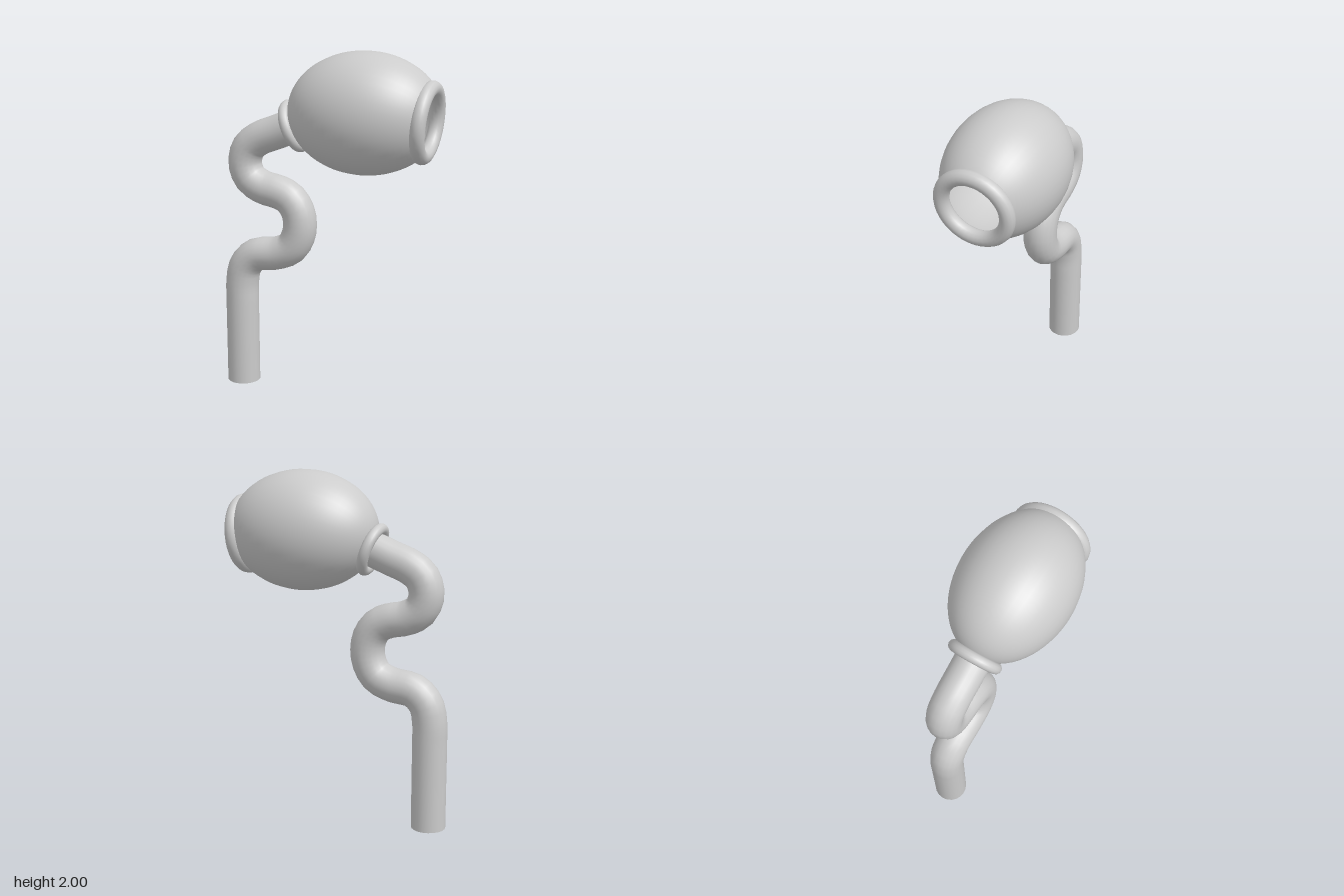
import * as THREE from 'three';

const material = new THREE.MeshStandardMaterial({ color: 0xcccccc, side: THREE.DoubleSide });

function addMesh(parent, name, geometry) {
  const mesh = new THREE.Mesh(geometry, material);
  mesh.name = name;
  parent.add(mesh);
  return mesh;
}

// Hollow ellipsoid cut open at both ends; the cutting planes lean gradually from one end to the other
function bulbGeometry(rows = 28, sides = 40) {
  const positions = [], indices = [];
  for (let i = 0; i <= rows; i++) {
    const t = i / rows;
    const phi = THREE.MathUtils.lerp(Math.PI - 0.305, 0.61, t);
    const tilt = THREE.MathUtils.lerp(0.25, -0.12, t);
    const c = Math.cos(phi), s = Math.sin(phi);
    for (let j = 0; j < sides; j++) {
      const a = (j / sides) * Math.PI * 2;
      const x = c * Math.cos(tilt) - s * Math.cos(a) * Math.sin(tilt);
      const y = c * Math.sin(tilt) + s * Math.cos(a) * Math.cos(tilt);
      positions.push(x * 0.44, y * 0.34, s * Math.sin(a) * 0.32);
      if (i < rows) {
        const k = i * sides + j, n = i * sides + (j + 1) % sides;
        indices.push(k, n, k + sides, n, n + sides, k + sides);
      }
    }
  }
  const geometry = new THREE.BufferGeometry();
  geometry.setAttribute('position', new THREE.Float32BufferAttribute(positions, 3));
  geometry.setIndex(indices);
  geometry.computeVertexNormals();
  return geometry;
}

// Rounded collar whose axis runs along x, leaning by the tilt
function addRing(parent, name, x, y, radius, tube, tilt) {
  const geometry = new THREE.TorusGeometry(radius, tube, 14, 40).rotateY(Math.PI / 2);
  const ring = addMesh(parent, name, geometry);
  ring.position.set(x, y, 0);
  ring.rotation.z = tilt;
}

export function createModel() {
  const model = new THREE.Group();
  model.name = 'curvedPipe';

  // Winding open stem
  const path = new THREE.CatmullRomCurve3([
    [-0.545, 0], [-0.545, 0.25], [-0.545, 0.5], [-0.543, 0.62], [-0.52, 0.72],
    [-0.45, 0.79], [-0.31, 0.815], [-0.22, 0.86], [-0.172, 0.96], [-0.18, 1.07],
    [-0.23, 1.145], [-0.3, 1.178], [-0.4, 1.2], [-0.48, 1.25], [-0.512, 1.34],
    [-0.485, 1.43], [-0.42, 1.482], [-0.3, 1.53], [-0.17, 1.583],
  ].map(([x, y]) => new THREE.Vector3(x, y, 0)));
  addMesh(model, 'stem', new THREE.TubeGeometry(path, 56, 0.098, 20, false));

  // Hollow bowl
  addMesh(model, 'bowl', bulbGeometry()).position.set(0.22, 1.66, 0);

  // Collars at the stem joint and around the mouth
  addRing(model, 'stemCollar', -0.197, 1.568, 0.123, 0.031, 0.36);
  addRing(model, 'mouthRim', 0.577, 1.627, 0.187, 0.042, -0.1);

  return model;
}
